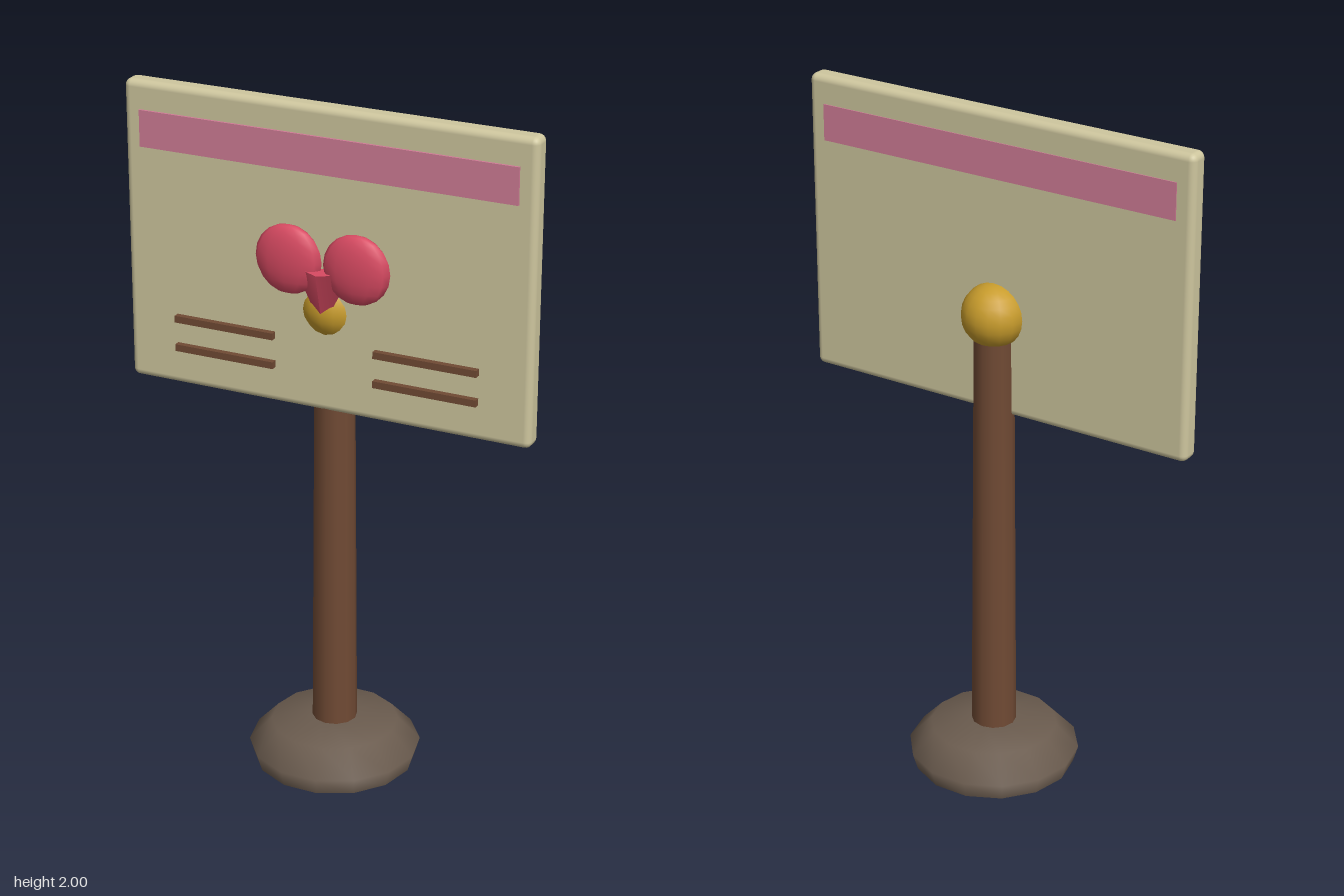
import * as THREE from 'three';
import { RoundedBoxGeometry } from 'three/addons/geometries/RoundedBoxGeometry.js';

const mat = (name, color) => new THREE.MeshStandardMaterial({ name, color });

export function createModel() {
  const cream = mat('cream', 0xcec69e);
  const pink = mat('dusty pink', 0xd07c96);
  const red = mat('heart red', 0xd84a62);
  const gold = mat('gold', 0xc89c2c);
  const wood = mat('brown wood', 0x704a34);
  const stone = mat('grey brown stone', 0x6a5b4e);

  const model = new THREE.Group();
  model.name = 'signpost';
  const add = (name, geometry, material, x = 0, y = 0, z = 0, parent = model) => {
    const mesh = new THREE.Mesh(geometry, material);
    mesh.name = name;
    mesh.position.set(x, y, z);
    parent.add(mesh);
    return mesh;
  };

  // Faceted stone foot with a flat underside
  const profile = [[0.235, 0], [0.25, 0.05], [0.185, 0.12], [0.07, 0.134], [0, 0.135]]
    .map(([r, y]) => new THREE.Vector2(r, y));
  add('base', new THREE.LatheGeometry(profile, 14).rotateY(Math.PI / 2), stone);
  add('baseUnderside', new THREE.CircleGeometry(0.235, 14).rotateX(Math.PI / 2), stone);

  // Slightly tapered post and the knob on top of it
  add('post', new THREE.CylinderGeometry(0.056, 0.066, 1.36, 12), wood, 0, 0.7, 0);
  add('knob', new THREE.SphereGeometry(0.092, 16, 12), gold, 0, 1.42, 0);

  // Board with a pink band on both faces
  add('board', new RoundedBoxGeometry(1.22, 0.875, 0.064, 3, 0.02), cream, 0, 1.5625, 0.032);
  add('frontBand', new THREE.BoxGeometry(1.12, 0.105, 0.008), pink, 0, 1.867, 0.067);
  add('backBand', new THREE.BoxGeometry(1.12, 0.105, 0.006), pink, 0, 1.867, 0);

  // Heart: two flattened lobes and a downward point
  const heart = new THREE.Group();
  heart.name = 'heart';
  model.add(heart);
  for (const side of [-1, 1]) {
    const lobe = new THREE.SphereGeometry(0.1, 12, 10).scale(1, 1, 0.35);
    add(side > 0 ? 'leftLobe' : 'rightLobe', lobe, red, side * 0.102, 1.564, 0.078, heart);
  }
  const point = new THREE.ConeGeometry(0.084, 0.165, 4).rotateZ(Math.PI).scale(1, 1, 0.5);
  add('heartPoint', point, red, 0, 1.4625, 0.08, heart);

  // Two short lines on each side below the heart
  for (const side of [-1, 1]) {
    for (const y of [1.327, 1.241]) {
      add('line', new THREE.BoxGeometry(0.306, 0.02, 0.02), wood, side * 0.305, y, 0.072);
    }
  }
  return model;
}
